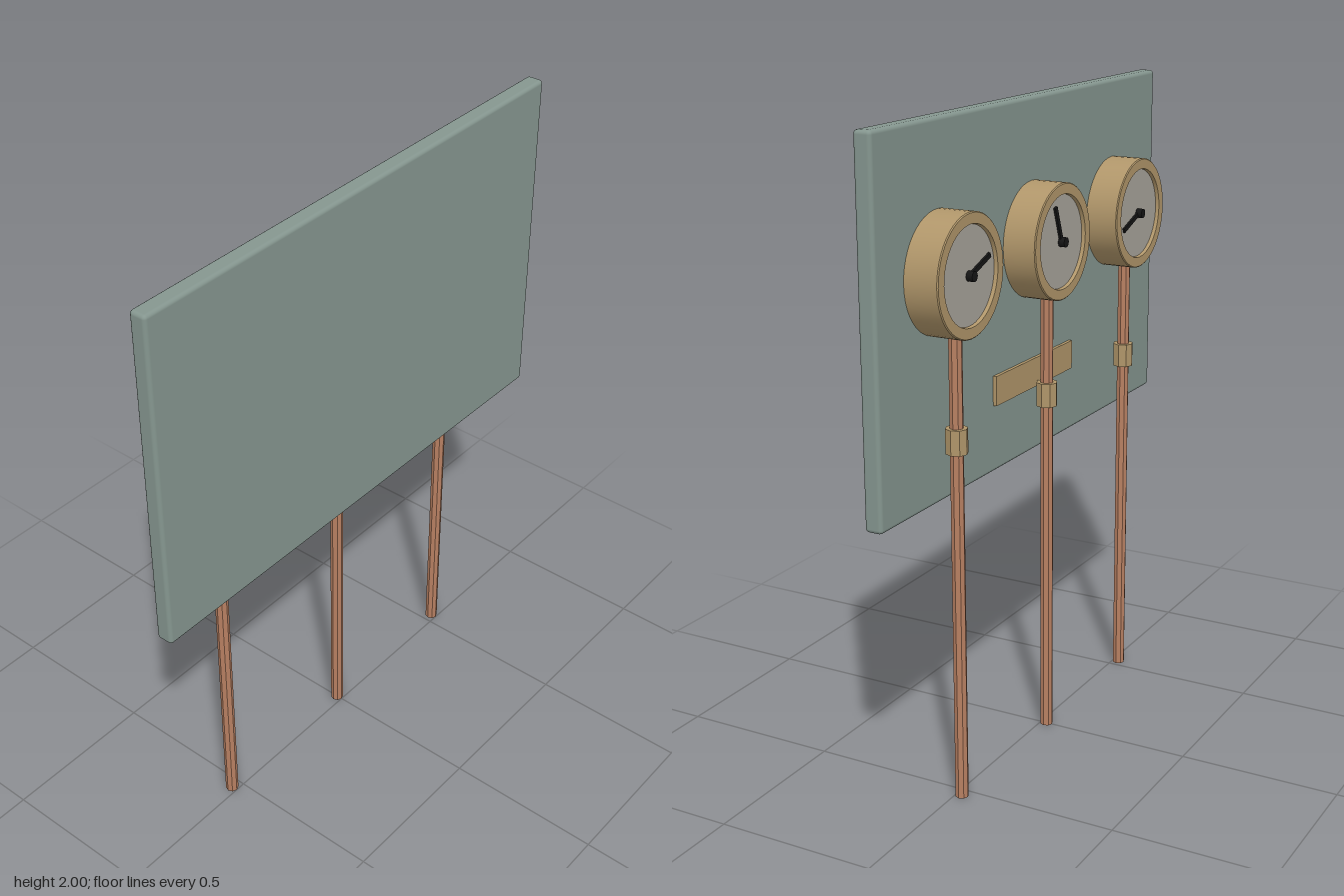
import * as THREE from 'three';
import { RoundedBoxGeometry } from 'three/addons/geometries/RoundedBoxGeometry.js';
import { toCreasedNormals } from 'three/addons/utils/BufferGeometryUtils.js';

const mat = (color, extra = {}) => new THREE.MeshStandardMaterial({ color, ...extra });
const panelMat = mat(0x87988f);
panelMat.color.set(0x85968f);
const brass = mat(0xb0966a);
const copper = mat(0xb88062, { flatShading: true });
const brassFlat = mat(0xb0966a, { flatShading: true });
const dialMat = mat(0xa8a39a);
const black = mat(0x151515);

function add(parent, name, geometry, material, x = 0, y = 0, z = 0) {
  const mesh = new THREE.Mesh(geometry, material);
  mesh.name = name;
  mesh.position.set(x, y, z);
  parent.add(mesh);
  return mesh;
}

// Round gauge built around the origin, dial facing +z, back at z = 0
function makeGauge(angle) {
  const gauge = new THREE.Group();
  gauge.name = 'gauge';

  // Case with a raised rim around the recessed dial
  const profile = [[0, 0], [0.175, 0], [0.175, 0.102], [0.172, 0.105], [0.142, 0.105], [0.14, 0.094]]
    .map(([r, h]) => new THREE.Vector2(r, h));
  const caseGeo = toCreasedNormals(new THREE.LatheGeometry(profile, 48).rotateX(Math.PI / 2), 0.5);
  add(gauge, 'gaugeCase', caseGeo, brass);
  add(gauge, 'dial', new THREE.CircleGeometry(0.141, 48), dialMat, 0, 0, 0.094);

  // Needle and its hub
  const needleGeo = new THREE.BoxGeometry(0.115, 0.014, 0.007).translate(0.0575, 0, 0);
  add(gauge, 'needle', needleGeo, black, 0, 0, 0.099).rotation.z = angle;
  add(gauge, 'needleHub', new THREE.CylinderGeometry(0.015, 0.015, 0.02, 16).rotateX(Math.PI / 2),
    black, 0, 0, 0.105);
  return gauge;
}

export function createModel() {
  const model = new THREE.Group();
  model.name = 'gaugeBoard';

  // Board and the plate on its gauge side
  add(model, 'panel', new RoundedBoxGeometry(1.69, 1.08, 0.055, 2, 0.012), panelMat, 0, 1.46, 0.0575);
  add(model, 'namePlate', new THREE.BoxGeometry(0.48, 0.09, 0.014), brass, 0, 1.17, 0.026);

  // Three gauges, each fed by a pipe with a coupling
  [[0.532, 20], [0, 110], [-0.532, 200]].forEach(([x, degrees]) => {
    const gauge = makeGauge(THREE.MathUtils.degToRad(degrees));
    gauge.position.set(x, 1.58, 0.03);
    gauge.rotation.y = Math.PI;
    model.add(gauge);

    add(model, 'pipe', new THREE.CylinderGeometry(0.02, 0.02, 1.43, 8), copper, x, 0.715, -0.02);
    add(model, 'coupling', new THREE.CylinderGeometry(0.033, 0.033, 0.074, 8), brassFlat, x, 1.108, -0.02);
  });

  return model;
}
